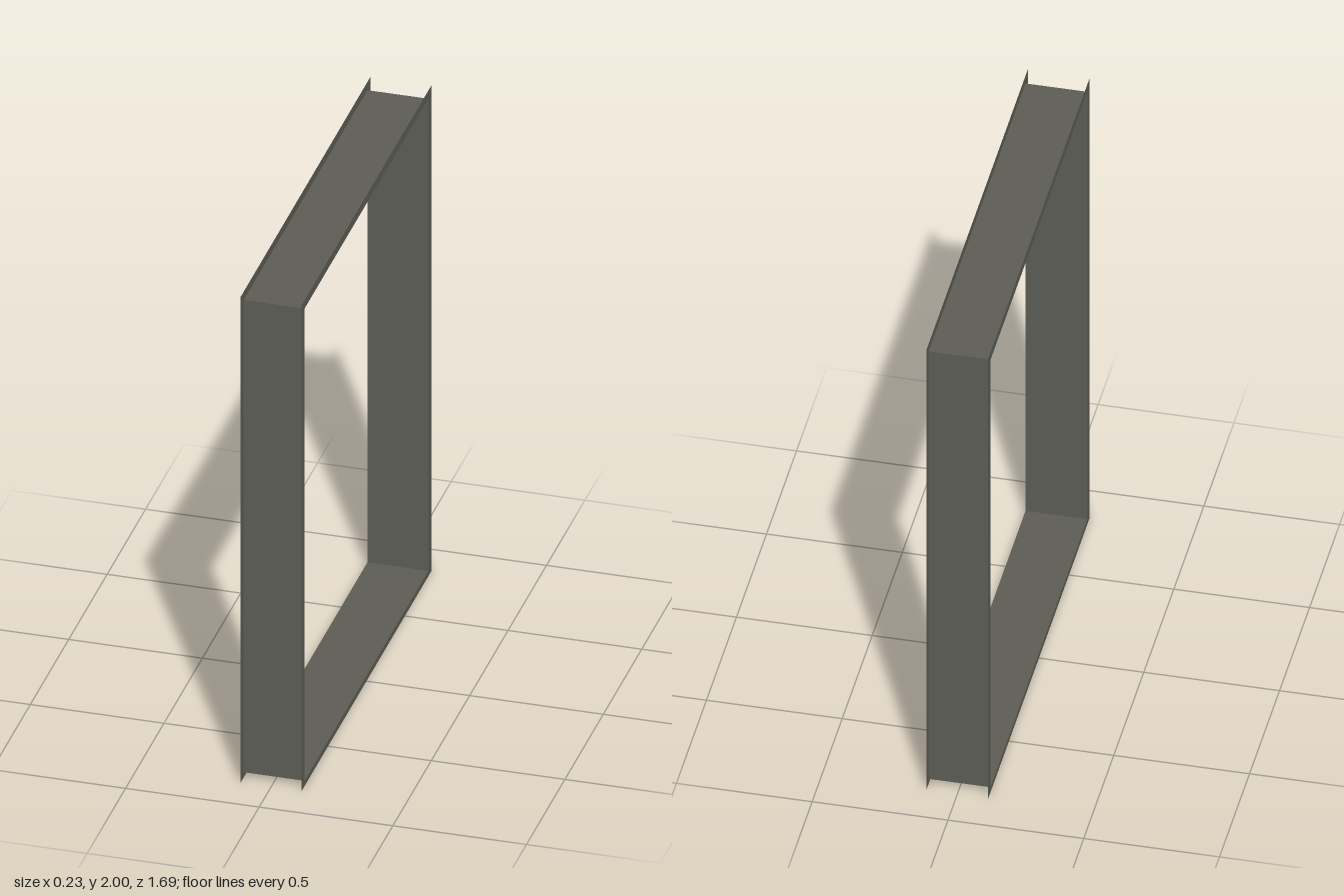
import * as THREE from 'three';

// Opening frame: four web plates between two thin flange rings
const HALF_WIDTH = 0.114;
const OUTER = { z: 0.845, y0: 0, y1: 2 };
const INNER = { z: 0.806, y0: 0.022, y1: 1.966 };

function rectangle(target, { z, y0, y1 }) {
  target.moveTo(-z, y0);
  target.lineTo(z, y0);
  target.lineTo(z, y1);
  target.lineTo(-z, y1);
  target.closePath();
  return target;
}

export function createModel() {
  const group = new THREE.Group();
  group.name = 'openingFrame';
  const metal = new THREE.MeshStandardMaterial({ color: 0x5c5c55, side: THREE.DoubleSide });
  metal.name = 'darkGreyMetal';

  const add = (name, geometry) => {
    const mesh = new THREE.Mesh(geometry, metal);
    mesh.name = name;
    group.add(mesh);
    return mesh;
  };

  // Flat flange rings, one on each side, facing outward
  const ring = rectangle(new THREE.Shape(), OUTER);
  ring.holes.push(rectangle(new THREE.Path(), INNER));
  for (const [name, side] of [['leftFlange', 1], ['rightFlange', -1]]) {
    const flange = add(name, new THREE.ShapeGeometry(ring));
    flange.rotation.y = side * Math.PI / 2;
    flange.position.x = side * HALF_WIDTH;
  }

  // Upright webs at the front and back
  const height = INNER.y1 - INNER.y0;
  for (const [name, side] of [['frontWeb', 1], ['backWeb', -1]]) {
    const web = add(name, new THREE.PlaneGeometry(HALF_WIDTH * 2, height));
    web.rotation.y = side > 0 ? 0 : Math.PI;
    web.position.set(0, INNER.y0 + height / 2, side * INNER.z);
  }

  // Level webs at the top and bottom
  for (const [name, side, y] of [['topWeb', 1, INNER.y1], ['bottomWeb', -1, INNER.y0]]) {
    const web = add(name, new THREE.PlaneGeometry(HALF_WIDTH * 2, INNER.z * 2));
    web.rotation.x = -side * Math.PI / 2;
    web.position.y = y;
  }

  return group;
}
